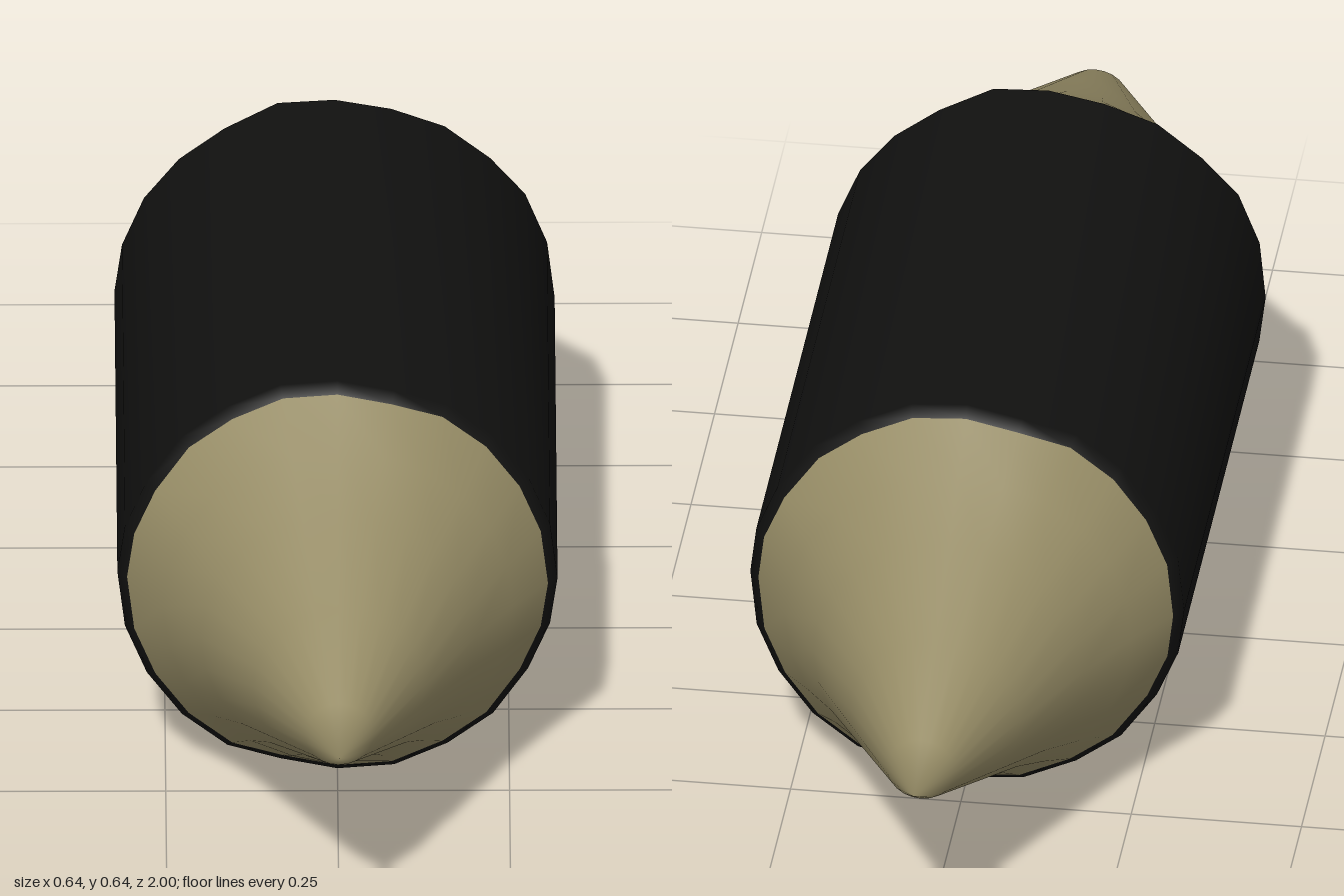
import * as THREE from 'three';
import { mergeVertices } from 'three/addons/utils/BufferGeometryUtils.js';

const SIDES = 24;
const RADIUS = 0.32;
const CENTRE_Y = 0.324;

// Uneven seam where the sleeve meets the pointed ends
function seamOffset(angle, end) {
  return 0.007 * Math.sin(5 * angle + end) + 0.006 * Math.sin(9 * angle + 2 * end);
}

// Lathe along z, with the rings near the seams shifted by the wavy offset
function turned(profile) {
  const geometry = new THREE.LatheGeometry(profile.map(([r, z]) => new THREE.Vector2(r, z)), SIDES);
  geometry.rotateX(Math.PI / 2);
  geometry.deleteAttribute('uv');
  geometry.deleteAttribute('normal');
  const p = geometry.attributes.position;
  for (let i = 0; i < p.count; i++) {
    const z = p.getZ(i);
    if (Math.abs(z) < 0.47) {
      const end = Math.sign(z);
      p.setZ(i, z + end * seamOffset(Math.atan2(p.getY(i), p.getX(i)), end));
    }
  }
  const merged = mergeVertices(geometry, 1e-4);
  merged.computeVertexNormals();
  return merged;
}

export function createModel() {
  const group = new THREE.Group();
  const dark = new THREE.MeshStandardMaterial({ color: 0x111110, side: THREE.DoubleSide });
  const tan = new THREE.MeshStandardMaterial({ color: 0x958b65, side: THREE.DoubleSide });

  function add(name, profile, material) {
    const mesh = new THREE.Mesh(turned(profile), material);
    mesh.name = name;
    mesh.position.y = CENTRE_Y;
    group.add(mesh);
  }

  // Dark sleeve with slightly turned-in rims
  add('sleeve', [[0.306, -0.448], [RADIUS, -0.432], [RADIUS, 0.432], [0.306, 0.448]], dark);

  // Pointed ends, from the seam out to the tip
  const point = [[0.306, 0.448], [0.255, 0.53], [0.2, 0.625], [0.125, 0.775], [0.05, 0.925], [0, 1]];
  add('frontPoint', point, tan);
  add('backPoint', point.map(([r, z]) => [r, -z]).reverse(), tan);

  return group;
}
